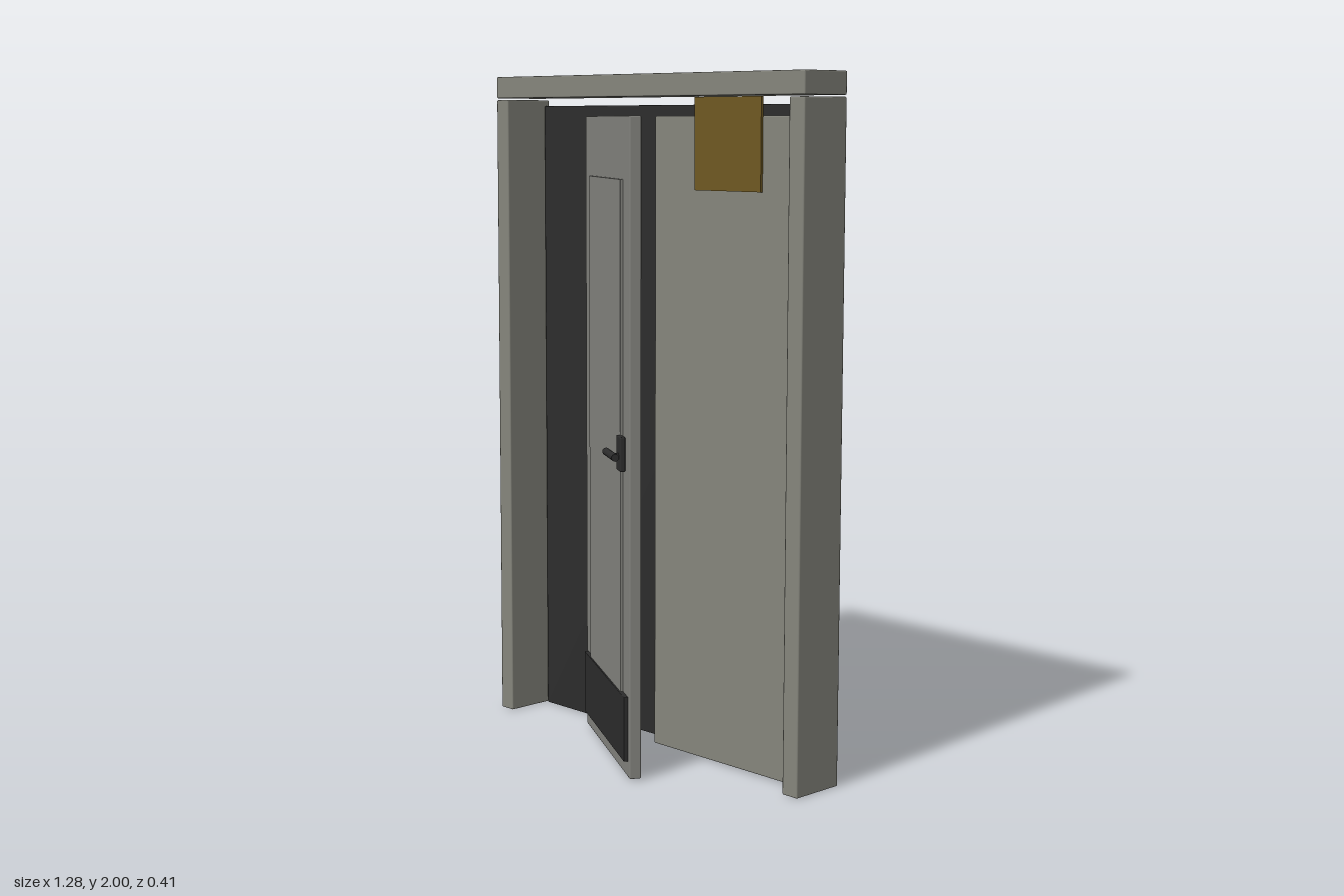
import * as THREE from 'three';
import { RoundedBoxGeometry } from 'three/addons/geometries/RoundedBoxGeometry.js';

const mat = (name, color) => {
  const m = new THREE.MeshStandardMaterial({ color });
  m.name = name;
  return m;
};

export function createModel() {
  const frameGrey = mat('frame grey', 0x85857c);
  const doorGrey = mat('door grey', 0x83837e);
  const black = mat('black', 0x2c2c2c);
  const ochre = mat('ochre', 0x6e5822);

  const model = new THREE.Group();
  model.name = 'doorway';

  // Box given by its min and max corners, with softened edges
  const box = (parent, name, material, a, b, bevel = 0.004) => {
    const size = b.map((v, i) => v - a[i]);
    const mesh = new THREE.Mesh(
      bevel ? new RoundedBoxGeometry(...size, 1, bevel) : new THREE.BoxGeometry(...size),
      material
    );
    mesh.position.set(...a.map((v, i) => (v + b[i]) / 2));
    mesh.name = name;
    parent.add(mesh);
    return mesh;
  };

  // Frame: header across two posts
  box(model, 'header', frameGrey, [-0.642, 1.935, -0.202], [0.642, 2, -0.032]);
  box(model, 'rightPost', frameGrey, [-0.642, 0, -0.202], [-0.588, 1.93, -0.032]);
  box(model, 'leftPost', frameGrey, [0.586, 0, -0.202], [0.642, 1.93, -0.032]);

  // Dark backing closing the opening
  box(model, 'backing', black, [-0.582, 0, -0.192], [0.582, 1.912, -0.175]);

  // Closed leaf
  box(model, 'fixedLeaf', frameGrey, [-0.008, 0.004, -0.138], [0.581, 1.88, -0.104]);

  // Sign plate hanging in front of the closed leaf
  box(model, 'signPlate', ochre, [0.165, 1.67, -0.102], [0.425, 1.933, -0.094], 0);

  // Open leaf, swung about its hinge edge; local z = 0 is its front face
  const door = new THREE.Group();
  door.name = 'openLeaf';
  door.position.set(-0.305, 0, -0.099);
  door.rotation.y = -Math.PI / 6;
  model.add(door);
  box(door, 'leaf', doorGrey, [0, 0.004, -0.034], [0.589, 1.88, 0]);
  box(door, 'raisedPanel', doorGrey, [0.085, 0.175, -0.002], [0.505, 1.705, 0.008], 0.002);
  box(door, 'kickPlate', black, [0.022, 0.05, -0.002], [0.566, 0.24, 0.012], 0.002);

  // Handle: back plate, spindle and lever
  const handle = new THREE.Group();
  handle.name = 'handle';
  door.add(handle);
  box(handle, 'handlePlate', black, [0.487, 0.885, 0], [0.54, 0.985, 0.016]);
  const rod = (name, radius, length, x, y, z) => {
    const mesh = new THREE.Mesh(new THREE.CylinderGeometry(radius, radius, length, 16), black);
    mesh.name = name;
    mesh.position.set(x, y, z);
    handle.add(mesh);
    return mesh;
  };
  rod('spindle', 0.01, 0.03, 0.514, 0.927, 0.018).rotation.x = Math.PI / 2;
  rod('lever', 0.011, 0.122, 0.479, 0.927, 0.03).rotation.z = Math.PI / 2;

  return model;
}
